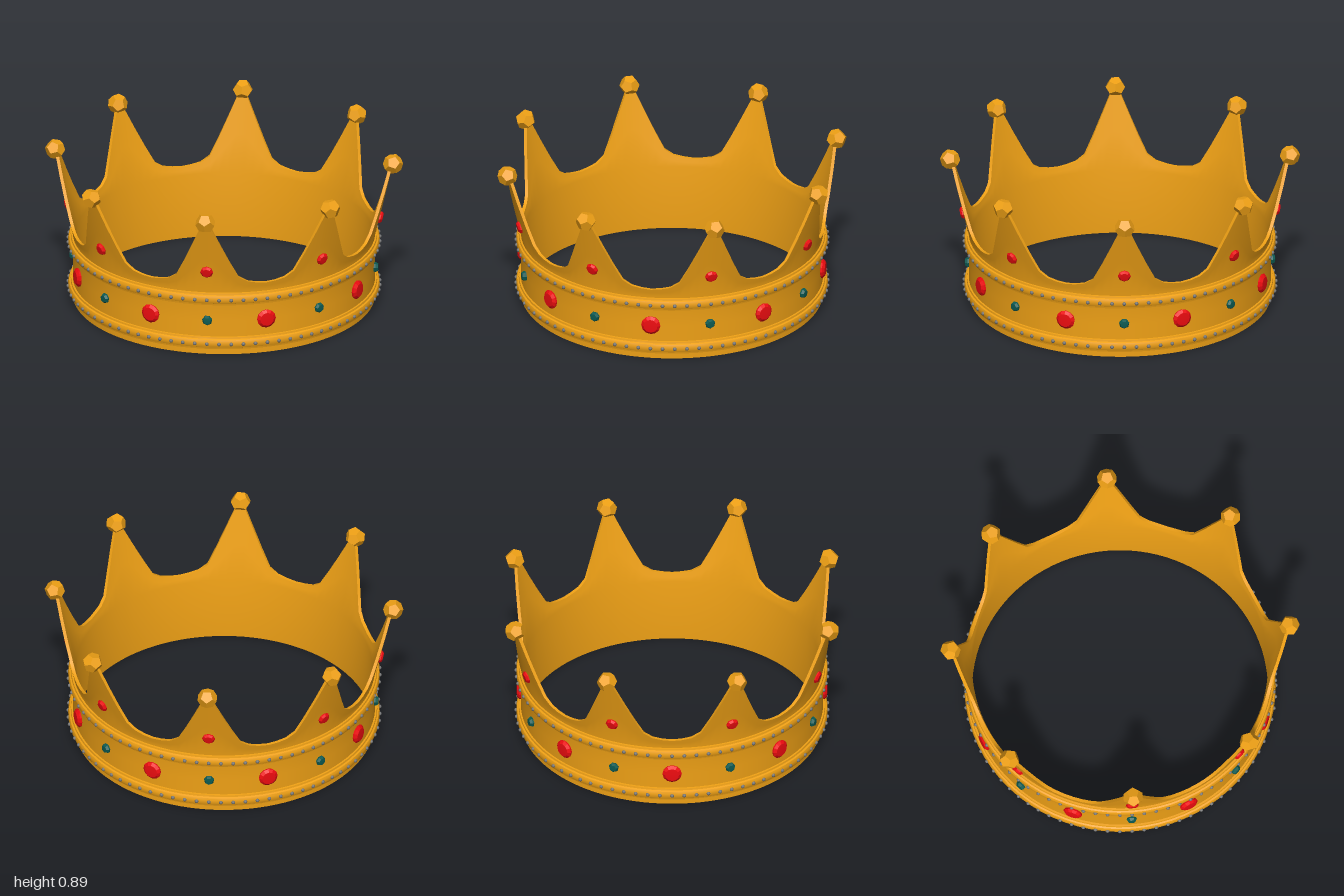
import * as THREE from 'three';
import { mergeGeometries, toCreasedNormals } from 'three/addons/utils/BufferGeometryUtils.js';

const POINTS = 8, STEP = (Math.PI * 2) / POINTS;
const LEAN_Y = 0.38, LEAN = 0.23, RADIUS = 0.84, THICK = 0.018;

const gold = new THREE.MeshStandardMaterial({ color: 0xeea015 });
const red = new THREE.MeshStandardMaterial({ color: 0xee0c10 });
const teal = new THREE.MeshStandardMaterial({ color: 0x0c5a52 });
const silver = new THREE.MeshStandardMaterial({ color: 0x777777 });

// Outer radius of the wall: upright below, flaring outwards in the spikes
const wallRadius = (y) => RADIUS + Math.max(0, y - LEAN_Y) * LEAN;

// Closed wall swept around the circle, its top edge cut into spikes
function wallGeometry() {
  // angle from a spike's centre, height of the edge there
  const half = [[0, 0.81], [0.03, 0.805], [0.085, 0.69], [0.145, 0.575], [0.205, 0.475], [0.265, 0.442], [0.33, 0.43]];
  const edge = [...half.slice(1).reverse().map(([a, h]) => [-a, h]), ...half, [STEP / 2, 0.425]];
  const columns = [];
  for (let k = 0; k < POINTS; k++) for (const [a, h] of edge) columns.push([a + k * STEP, h]);

  const position = [], index = [];
  const rows = 8;
  for (const [a, h] of columns) {
    const ys = [0, 0.2, LEAN_Y, LEAN_Y + (h - LEAN_Y) * 0.5, h];
    const section = [
      ...ys.map((y) => [wallRadius(y), y]),
      ...ys.slice().reverse().filter((y) => y !== 0.2).map((y) => [wallRadius(y) - THICK, y]),
    ];
    for (const [r, y] of section) position.push(r * Math.sin(a), y, r * Math.cos(a));
  }
  const n = rows + 1, m = columns.length;
  for (let i = 0; i < m; i++) for (let j = 0; j < n; j++) {
    const i2 = (i + 1) % m, j2 = (j + 1) % n;
    const a = i * n + j, b = i2 * n + j, c = i2 * n + j2, d = i * n + j2;
    index.push(a, b, c, a, c, d);
  }
  const g = new THREE.BufferGeometry();
  g.setAttribute('position', new THREE.Float32BufferAttribute(position, 3));
  g.setIndex(index);
  return toCreasedNormals(g, 0.6);
}

// Raised moulding around the band, with a narrow lip on each side
function mouldingGeometry(y) {
  const profile = [[0.83, -0.038], [0.85, -0.036], [0.852, -0.026], [0.861, -0.022], [0.866, -0.01],
    [0.866, 0.01], [0.861, 0.022], [0.852, 0.026], [0.85, 0.036], [0.83, 0.038]];
  return toCreasedNormals(new THREE.LatheGeometry(profile.map(([r, h]) => new THREE.Vector2(r, y + h)), 72), 0.7);
}

// Row of small beads on a moulding
function beadsGeometry(y, count = 80) {
  const beads = [];
  for (let i = 0; i < count; i++) {
    beads.push(new THREE.IcosahedronGeometry(0.011, 1).translate(0, y, 0.866).rotateY((i / count) * Math.PI * 2));
  }
  return mergeGeometries(beads);
}

// Faceted gem facing +z
function gemGeometry(r, depth, sides) {
  const profile = [[r * 0.9, -0.012], [r, depth * 0.4], [r * 0.72, depth], [0, depth * 1.1]];
  const g = new THREE.LatheGeometry(profile.map(([x, y]) => new THREE.Vector2(x, y)), sides);
  return toCreasedNormals(g.rotateX(Math.PI / 2), 0.3);
}

export function createModel() {
  const crown = new THREE.Group();
  crown.name = 'crown';
  const add = (name, geometry, material) => {
    const mesh = new THREE.Mesh(geometry, material);
    mesh.name = name;
    crown.add(mesh);
    return mesh;
  };
  const place = (mesh, angle, y, r, tilt = 0) => {
    mesh.position.set(r * Math.sin(angle), y, r * Math.cos(angle));
    mesh.rotation.set(tilt, angle, 0, 'YXZ');
  };

  add('wall', wallGeometry(), gold);
  for (const [name, y] of [['lower', 0.07], ['upper', 0.335]]) {
    add(name + 'Moulding', mouldingGeometry(y), gold);
    add(name + 'Beads', beadsGeometry(y), silver);
  }

  const ball = toCreasedNormals(new THREE.DodecahedronGeometry(0.057), 0.1);
  const bigGem = gemGeometry(0.054, 0.022, 12);
  const spikeGem = gemGeometry(0.036, 0.018, 8);
  const smallGem = gemGeometry(0.029, 0.022, 7);

  for (let k = 0; k < POINTS; k++) {
    const a = k * STEP;
    place(add('spikeBall', ball, gold), a, 0.835, 0.945, 0.3);
    place(add('spikeGem', spikeGem, red), a, 0.51, wallRadius(0.51), Math.atan(LEAN));
    place(add('smallBandGem', smallGem, teal), a, 0.205, RADIUS);
    place(add('largeBandGem', bigGem, red), a + STEP / 2, 0.205, RADIUS);
  }
  return crown;
}
